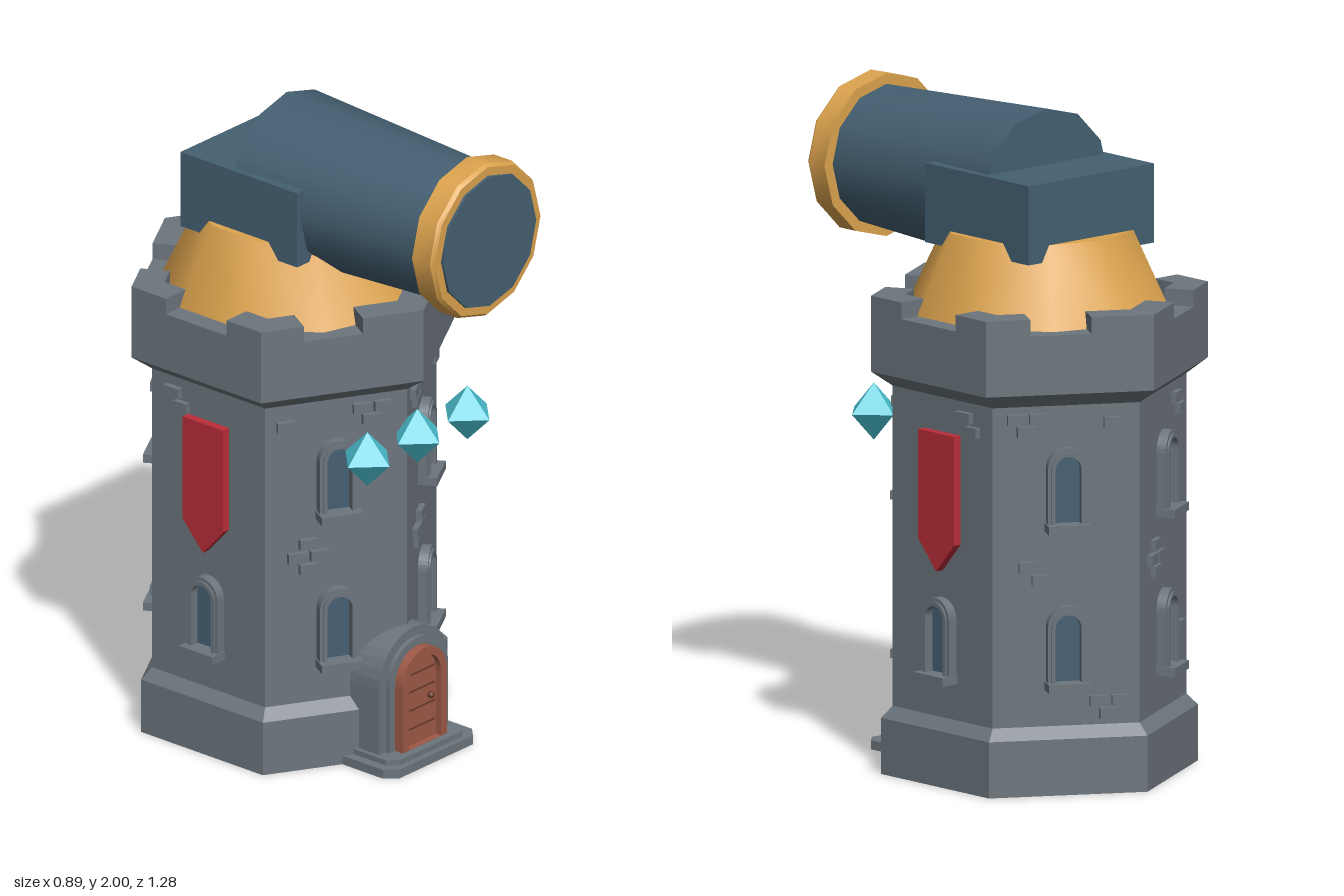
import * as THREE from 'three';
import { toCreasedNormals } from 'three/addons/utils/BufferGeometryUtils.js';

const CZ = -0.13;        // tower axis
const APOTHEM = 0.385;   // distance from axis to a wall face

const mat = (name, color) => {
  const m = new THREE.MeshStandardMaterial({ color });
  m.name = name;
  return m;
};

export function createModel() {
  const stone = mat('stone grey', 0x6c757d);
  const steel = mat('steel blue', 0x456072);
  const gold = mat('gold', 0xdca34e);
  const red = mat('banner red', 0xbb2d38);
  const cyan = mat('crystal cyan', 0x4cc4d4);
  const wood = mat('door wood', 0x9e5a46);
  const dark = mat('dark wood', 0x6b3a2e);

  const model = new THREE.Group();
  model.name = 'cannonTower';

  const add = (parent, name, geometry, material, x = 0, y = 0, z = 0) => {
    const mesh = new THREE.Mesh(geometry, material);
    mesh.name = name;
    mesh.position.set(x, y, z);
    parent.add(mesh);
    return mesh;
  };
  const box = (w, h, d) => new THREE.BoxGeometry(w, h, d);
  const lathe = (pts, sides, crease) => toCreasedNormals(
    new THREE.LatheGeometry(pts.map(p => new THREE.Vector2(...p)), sides), crease);
  const polygon = pts => new THREE.Shape(pts.map(p => new THREE.Vector2(...p)));
  const extrude = (shape, depth) =>
    new THREE.ExtrudeGeometry(shape, { depth, bevelEnabled: false, curveSegments: 8 });

  // Round-topped outline from y0 to y1
  const arch = (half, y0, y1, Type = THREE.Shape) => {
    const s = new Type();
    s.moveTo(-half, y0);
    s.lineTo(half, y0);
    s.lineTo(half, y1 - half);
    s.absarc(0, y1 - half, half, 0, Math.PI, false);
    s.lineTo(-half, y0);
    return s;
  };
  const archRing = (half, y0, y1, inner, iy0, iy1) => {
    const s = arch(half, y0, y1);
    s.holes.push(arch(inner, iy0, iy1, THREE.Path));
    return s;
  };

  // Hexagonal tower with plinth and flared crown
  add(model, 'towerBody', lathe([
    [0, 0], [0.48, 0], [0.48, 0.17], [0.445, 0.205], [0.445, 1.175],
    [0.51, 1.22], [0.51, 1.4], [0, 1.4],
  ], 6, 0.3), stone, 0, 0, CZ);

  // Corner battlements; the front and back ones are longer
  for (let i = 0; i < 6; i++) {
    const arm = i % 3 === 0 ? 0.19 : 0.135;
    const ax = arm * 0.866, az = 0.51 - arm * 0.5;
    const bx = ax - 0.045, bz = az - 0.078;
    const shape = polygon([[0, -0.51], [ax, -az], [bx, -bz], [0, -0.406], [-bx, -bz], [-ax, -az]]);
    const merlon = add(model, 'battlement', extrude(shape, 0.05).rotateX(-Math.PI / 2), stone, 0, 1.4, CZ);
    merlon.rotation.y = i * Math.PI / 3;
  }

  // Turret dome, mount block and cannon
  add(model, 'turretDome', lathe([[0, 1.395], [0.4, 1.395], [0.285, 1.64], [0, 1.64]], 10, 0.7), gold, 0, 0, CZ);
  add(model, 'cannonMount', box(0.5, 0.24, 0.46), steel, 0, 1.71, -0.13);
  add(model, 'cannonBarrel',
    lathe([[0, -0.16], [0.25, -0.16], [0.21, 0.64], [0, 0.64]], 12, 0.7).rotateX(Math.PI / 2), steel, 0, 1.75, 0);
  add(model, 'muzzleRing',
    lathe([[0.2, 0.55], [0.247, 0.55], [0.247, 0.62], [0.238, 0.632], [0.2, 0.632]], 12, 0.6)
      .rotateX(Math.PI / 2), gold, 0, 1.75, 0);

  // Wall face details, in face coordinates: x along the wall, z outward
  const frameGeo = extrude(archRing(0.061, 0.02, 0.26, 0.039, 0.03, 0.236), 0.03);
  const trimGeo = extrude(archRing(0.05, 0.02, 0.249, 0.039, 0.03, 0.236), 0.036);
  const glassGeo = extrude(arch(0.041, 0.025, 0.238), 0.006);
  const sillGeo = box(0.13, 0.026, 0.06);
  const addWindow = (face, y) => {
    const w = new THREE.Group();
    w.name = 'window';
    w.position.y = y;
    add(w, 'windowFrame', frameGeo, stone);
    add(w, 'windowTrim', trimGeo, stone);
    add(w, 'windowGlass', glassGeo, steel);
    add(w, 'windowSill', sillGeo, stone, 0, 0.018, 0.03);
    face.add(w);
  };

  // Raised brick clusters: offsets and width of each brick
  const clusters = {
    single: [[0, 0, 0.055]],
    pair: [[-0.015, 0.02, 0.06], [0.02, -0.02, 0.05]],
    trio: [[-0.032, 0.018, 0.055], [0.032, 0.018, 0.05], [0, -0.02, 0.06]],
    steps: [[0.03, 0.036, 0.055], [-0.028, 0, 0.05], [0.03, 0, 0.055], [-0.012, -0.036, 0.055]],
    cross: [[0, 0.04, 0.055], [-0.034, 0, 0.06], [0.034, 0, 0.055], [0, -0.04, 0.055]],
  };
  const addBricks = (face, type, u, y) => {
    for (const [du, dy, w] of clusters[type]) {
      add(face, 'brick', box(w, 0.032, 0.036), stone, u + du, y + dy, 0);
    }
  };

  const bannerGeo = extrude(
    polygon([[-0.08, 1.07], [-0.08, 0.74], [0, 0.65], [0.08, 0.74], [0.08, 1.07]]), 0.027);

  const faceBricks = [
    [['trio', -0.12, 1.12], ['single', 0.155, 1.12], ['steps', -0.09, 0.67]],
    [['pair', 0.12, 1.11]],
    [['trio', -0.12, 1.12], ['single', 0.14, 1.12], ['pair', -0.1, 0.67], ['trio', 0.13, 0.26]],
    [['pair', 0.12, 1.11], ['cross', -0.09, 0.68], ['single', 0.14, 0.43]],
    [['pair', -0.12, 1.11]],
    [['trio', 0.11, 1.12], ['single', -0.16, 1.11], ['cross', -0.09, 0.68]],
  ];
  faceBricks.forEach((bricks, i) => {
    const angle = Math.PI / 6 + i * Math.PI / 3;
    const face = new THREE.Group();
    face.name = 'wallDetails';
    face.position.set(Math.sin(angle) * APOTHEM, 0, CZ + Math.cos(angle) * APOTHEM);
    face.rotation.y = angle;
    model.add(face);
    addWindow(face, 0.31);
    if (i % 3 === 1) add(face, 'banner', bannerGeo, red);
    else addWindow(face, 0.79);
    bricks.forEach(b => addBricks(face, ...b));
  });

  // Doorway on the front corner
  const door = new THREE.Group();
  door.name = 'doorway';
  model.add(door);
  add(door, 'doorSurround', extrude(arch(0.155, 0, 0.41), 0.15), stone, 0, 0, 0.19);
  add(door, 'doorSurroundTrim', extrude(archRing(0.125, 0.03, 0.38, 0.09, 0.04, 0.34), 0.02), stone, 0, 0, 0.335);
  add(door, 'doorFrame', extrude(archRing(0.1, 0.045, 0.355, 0.073, 0.046, 0.33), 0.055), wood, 0, 0, 0.33);
  add(door, 'doorPanel', extrude(arch(0.075, 0.045, 0.332), 0.035), wood, 0, 0, 0.33);
  for (const y of [0.1, 0.16, 0.22, 0.275]) {
    add(door, 'plankGap', box(0.13, 0.005, 0.004), dark, 0, y, 0.366);
  }
  add(door, 'doorKnob', new THREE.SphereGeometry(0.011, 8, 6), dark, 0.042, 0.185, 0.372);

  // Door step with clipped corners
  const step = (half, front, cut) =>
    polygon([[-half, -0.2], [half, -0.2], [half, cut - front], [half - cut, -front], [cut - half, -front], [-half, cut - front]]);
  add(door, 'lowerStep', extrude(step(0.2, 0.43, 0.035), 0.028).rotateX(-Math.PI / 2), stone);
  add(door, 'upperStep', extrude(step(0.17, 0.41, 0.03), 0.045).rotateX(-Math.PI / 2), stone);

  // Floating crystals
  for (const x of [-0.225, 0, 0.225]) {
    add(model, 'crystal', new THREE.OctahedronGeometry(0.087), cyan, x, 1.035, 0.355);
  }

  return model;
}
